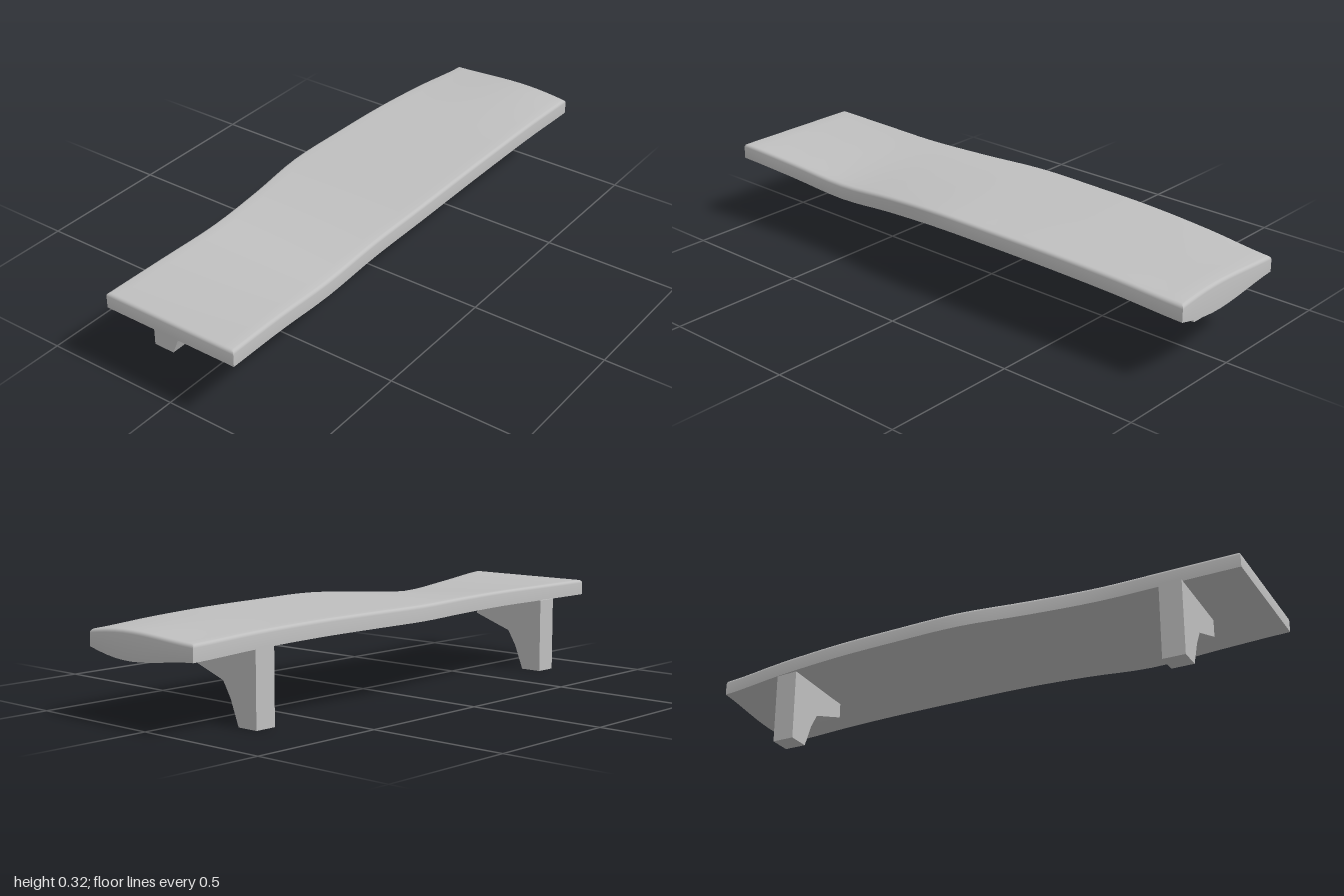
import * as THREE from 'three';
import { toCreasedNormals } from 'three/addons/utils/BufferGeometryUtils.js';

const grey = new THREE.MeshStandardMaterial({ color: 0xbfbfbf });
grey.name = 'grey';

// Board outline and warp, sampled evenly from the front (z = 1) to the back (z = -1)
const leftX = [-0.24, -0.235, -0.23, -0.25, -0.28, -0.275, -0.265, -0.248, -0.228];
const rightX = [0.275, 0.258, 0.25, 0.257, 0.273, 0.272, 0.27, 0.265, 0.26];
const leftDrop = [0, 0, 0, 0, 0, 0, 0.002, 0.011, 0.027];
const rightDrop = [0, 0.02, 0.038, 0.018, 0, 0, 0.003, 0.012, 0.027];
const belly = [0, 0, 0, 0, 0, 0, 0.001, 0.012, 0.027];

// Smooth value of a table at depth z
function sample(table, z) {
  const f = (1 - z) / 2 * (table.length - 1);
  const i = Math.min(Math.floor(f), table.length - 2);
  const at = (k) => table[Math.min(Math.max(k, 0), table.length - 1)];
  const [a, b, c, d] = [at(i - 1), at(i), at(i + 1), at(i + 2)];
  const t = f - i;
  return b + 0.5 * t * (c - a + t * (2 * a - 5 * b + 4 * c - d + t * (3 * (b - c) + d - a)));
}

// Height lost on the rounded upper edge at a distance from the rim
function roundOff(distance) {
  const r = 0.012;
  const k = THREE.MathUtils.clamp(1 - distance / r, 0, 1);
  return r * (1 - Math.sqrt(1 - k * k));
}

// Grid positions from 0 to 1, with tight rows at both rims for the rounding
function rows(count, length) {
  const rim = [0, 0.001, 0.0035, 0.0075, 0.012].map((d) => d / length);
  const inner = [];
  for (let i = 1; i < count; i++) inner.push(i / count);
  return [...rim, ...inner, ...rim.map((r) => 1 - r).reverse()];
}

// Board: a fine box whose vertices follow the wavy outline and warp
function makeBoard() {
  const across = rows(12, 0.5);
  const along = rows(32, 2);
  const nx = across.length - 1;
  const nz = along.length - 1;
  const geometry = new THREE.BoxGeometry(1, 1, 1, nx, 1, nz);
  const p = geometry.attributes.position;
  for (let i = 0; i < p.count; i++) {
    const t = across[Math.round((p.getX(i) + 0.5) * nx)];
    const z = 2 * along[Math.round((p.getZ(i) + 0.5) * nz)] - 1;
    const l = sample(leftX, z);
    const r = sample(rightX, z);
    const x = l + (r - l) * t;
    const drop = THREE.MathUtils.lerp(sample(leftDrop, z), sample(rightDrop, z), t);
    const bulge = sample(belly, z) * Math.sin(Math.PI * Math.pow(t, 1.4));
    const y = p.getY(i) > 0
      ? 0.323 - drop + 0.55 * bulge - Math.max(roundOff(Math.min(x - l, r - x)), roundOff(1 - Math.abs(z)))
      : 0.267 - drop - bulge;
    p.setXYZ(i, x, y, z);
  }
  // Normals are found at a larger scale so that the tight rim rows stay distinct
  geometry.scale(100, 100, 100);
  const creased = toCreasedNormals(geometry, 0.9).scale(0.01, 0.01, 0.01);
  const mesh = new THREE.Mesh(creased, grey);
  mesh.name = 'board';
  return mesh;
}

// Bracket: side profile extruded along z
function makeBracket(name, z) {
  const profile = [[-0.245, 0], [-0.165, 0], [-0.13, 0.088], [-0.097, 0.142],
    [0.055, 0.195], [0.055, 0.268], [-0.245, 0.268]];
  const shape = new THREE.Shape(profile.map(([x, y]) => new THREE.Vector2(x, y)));
  const depth = 0.08;
  const geometry = new THREE.ExtrudeGeometry(shape, { depth, bevelEnabled: false });
  geometry.translate(0, 0, -depth / 2);
  const mesh = new THREE.Mesh(toCreasedNormals(geometry, 0.5), grey);
  mesh.name = name;
  mesh.position.z = z;
  return mesh;
}

export function createModel() {
  const shelf = new THREE.Group();
  shelf.name = 'shelf';
  shelf.add(makeBoard(), makeBracket('frontBracket', 0.76), makeBracket('backBracket', -0.72));
  return shelf;
}
